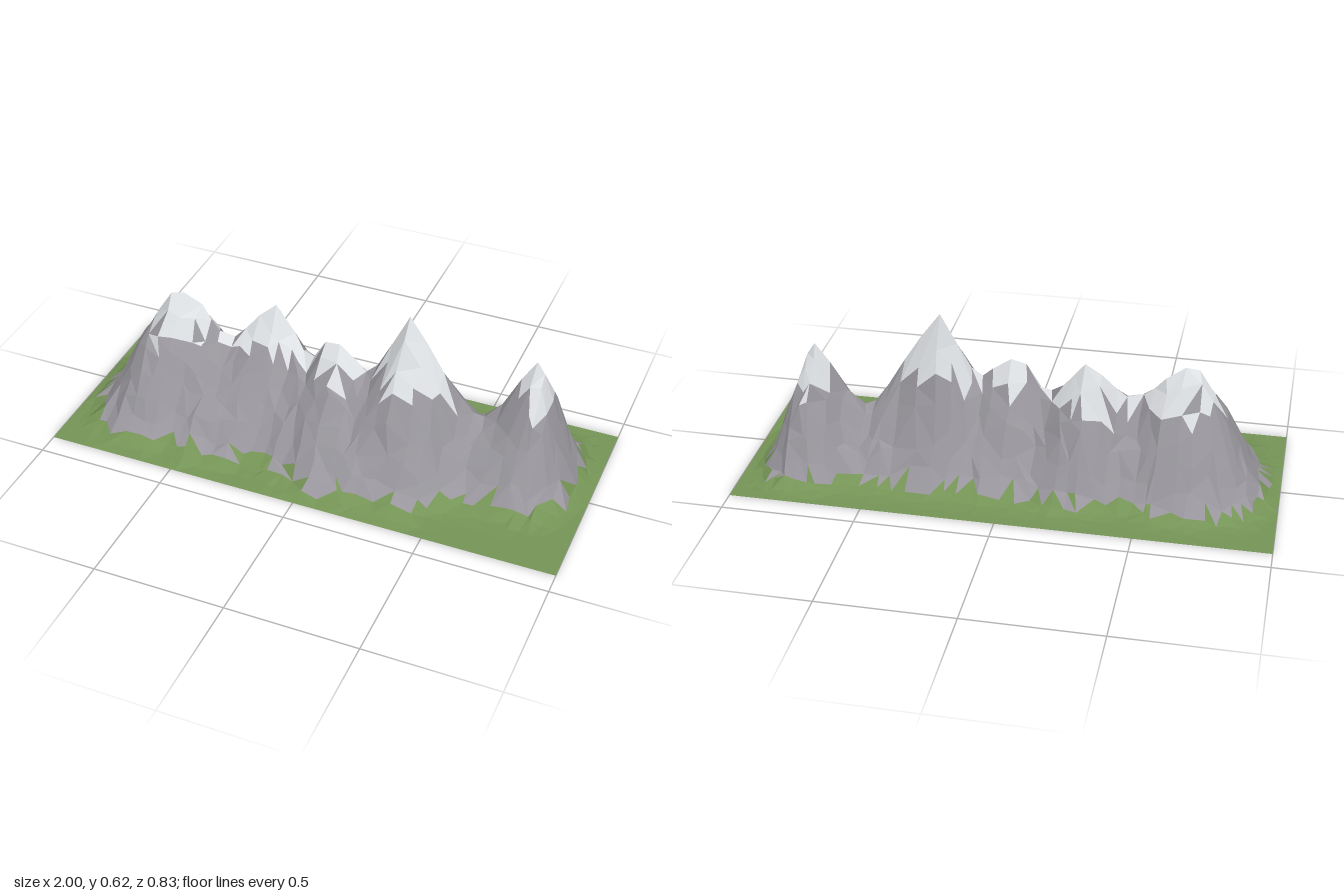
import * as THREE from 'three';

const HALF_Z = 0.415;
const ROWS = 9; // rows of vertices on each side of the ridge

// Ridge line: [x, height]; each point is also a column of the terrain grid
const ridge = [
  [-1, 0], [-0.96, 0], [-0.92, 0], [-0.88, 0], [-0.84, 0], [-0.79, 0], [-0.74, 0], [-0.68, 0.485],
  [-0.63, 0.495], [-0.56, 0.45], [-0.52, 0.4], [-0.48, 0.365], [-0.42, 0.35], [-0.38, 0.39],
  [-0.33, 0.45], [-0.27, 0.5], [-0.23, 0.45], [-0.19, 0.4], [-0.14, 0.355], [-0.09, 0.355],
  [-0.04, 0.44], [0.02, 0.45], [0.09, 0.4], [0.13, 0.365], [0.17, 0.4], [0.22, 0.5], [0.28, 0.625],
  [0.35, 0.53], [0.42, 0.42], [0.48, 0.32], [0.53, 0.25], [0.57, 0.235], [0.63, 0.3], [0.69, 0.42],
  [0.74, 0.5], [0.77, 0], [0.81, 0], [0.85, 0], [0.89, 0], [0.93, 0], [0.965, 0], [1, 0],
];
const crest = ridge.filter((p) => p[1] > 0);
const WEST = -0.68, EAST = 0.745; // the crest ends here and falls away as a rounded cone

const ridgeZ = [[-0.68, -0.01], [-0.56, -0.03], [-0.45, 0], [-0.33, -0.05], [-0.27, -0.07], [-0.19, -0.06],
  [-0.12, -0.01], [0.02, 0.01], [0.13, 0.02], [0.28, -0.02], [0.42, -0.01], [0.48, -0.03],
  [0.57, -0.05], [0.745, -0.1]];
const frontWidth = [[-0.68, 0.345], [0.3, 0.345], [0.45, 0.31], [0.58, 0.26], [0.745, 0.28]];
const backWidth = [[-0.68, 0.265], [-0.27, 0.22], [0, 0.275], [0.4, 0.26], [0.58, 0.235], [0.745, 0.225]];
// Slope from crest (1) to plain (0)
const slope = [[0, 1], [0.1, 0.94], [0.28, 0.75], [0.47, 0.56], [0.61, 0.4], [0.76, 0.24], [0.87, 0.13],
  [0.97, 0.065], [1.12, 0.018], [1.3, 0]];
// Lower limit of the snow along the range
const snowLine = [[-0.65, 0.355], [-0.45, 0.345], [0, 0.365], [0.28, 0.385], [0.55, 0.36], [0.75, 0.335]];

// Piecewise linear lookup
function lookup(points, x) {
  if (x <= points[0][0]) return points[0][1];
  for (let i = 1; i < points.length; i++) {
    const [x0, y0] = points[i - 1], [x1, y1] = points[i];
    if (x <= x1) return y0 + ((y1 - y0) * (x - x0)) / (x1 - x0);
  }
  return points[points.length - 1][1];
}

// Seeded noise from -1 to 1
function noise(i, j, seed) {
  const s = Math.sin(i * 127.1 + j * 311.7 + seed * 74.7) * 43758.5453;
  return (s - Math.floor(s)) * 2 - 1;
}

function heightAt(x, z, gully) {
  const cx = Math.min(EAST, Math.max(WEST, x));
  const dz = z - lookup(ridgeZ, cx);
  const width = lookup(dz > 0 ? frontWidth : backWidth, cx) * (1 + gully);
  const dx = Math.abs(x - cx) / (x < 0 ? 0.265 : 0.19);
  const t = Math.pow(Math.pow(dx, 2.4) + Math.pow(Math.abs(dz) / width, 2.4), 1 / 2.4);
  return lookup(crest, cx) * lookup(slope, t);
}

// One jittered vertex of the terrain grid
function vertexAt(i, j) {
  const k = j - ROWS;
  const edgeX = i === 0 || i === ridge.length - 1;
  const edgeZ = Math.abs(k) === ROWS;
  let x = ridge[i][0];
  const zr = lookup(ridgeZ, x);
  let z = zr + (Math.sign(k) * HALF_Z - zr) * Math.abs(k) / ROWS;
  if (!edgeX && k !== 0 && !edgeZ) x += noise(i, j, 1) * 0.014;
  if (k !== 0 && !edgeZ) z += noise(i, j, 2) * 0.013;
  if (edgeX || edgeZ) return new THREE.Vector3(x, 0, z);
  let y = heightAt(x, z, noise(i, Math.sign(k), 3) * 0.04);
  if (k !== 0) y += noise(i, j, 4) * Math.min(0.012, y * 0.25);
  return new THREE.Vector3(x, Math.max(0, y), z);
}

export function createModel() {
  const group = new THREE.Group();
  group.name = 'mountainRange';

  const material = (name, color) => {
    const m = new THREE.MeshStandardMaterial({ color, flatShading: true, side: THREE.DoubleSide });
    m.name = name;
    return m;
  };
  const layers = {
    grassPlain: { material: material('grass green', 0x759456), positions: [] },
    rockSlopes: { material: material('rock grey', 0x98969c), positions: [] },
    snowCaps: { material: material('snow white', 0xdcdfe2), positions: [] },
  };

  const grid = ridge.map((_, i) => Array.from({ length: 2 * ROWS + 1 }, (_, j) => vertexAt(i, j)));

  // Each facet joins grass, rock or snow by its height
  const addFacet = (a, b, c, n) => {
    const y = (a.y + b.y + c.y) / 3;
    const snow = lookup(snowLine, (a.x + b.x + c.x) / 3) + n * 0.045;
    const name = y < 0.038 + n * 0.014 ? 'grassPlain' : y > snow ? 'snowCaps' : 'rockSlopes';
    for (const p of [a, b, c]) layers[name].positions.push(p.x, p.y, p.z);
  };
  for (let i = 0; i < ridge.length - 1; i++) {
    for (let j = 0; j < 2 * ROWS; j++) {
      const a = grid[i][j], b = grid[i][j + 1], c = grid[i + 1][j + 1], d = grid[i + 1][j];
      const n1 = noise(i, j, 5), n2 = noise(i, j, 6);
      if (noise(i, j, 7) > 0) {
        addFacet(a, b, d, n1);
        addFacet(b, c, d, n2);
      } else {
        addFacet(a, b, c, n1);
        addFacet(a, c, d, n2);
      }
    }
  }

  for (const [name, layer] of Object.entries(layers)) {
    const geometry = new THREE.BufferGeometry();
    geometry.setAttribute('position', new THREE.Float32BufferAttribute(layer.positions, 3));
    geometry.computeVertexNormals();
    const mesh = new THREE.Mesh(geometry, layer.material);
    mesh.name = name;
    group.add(mesh);
  }
  return group;
}
